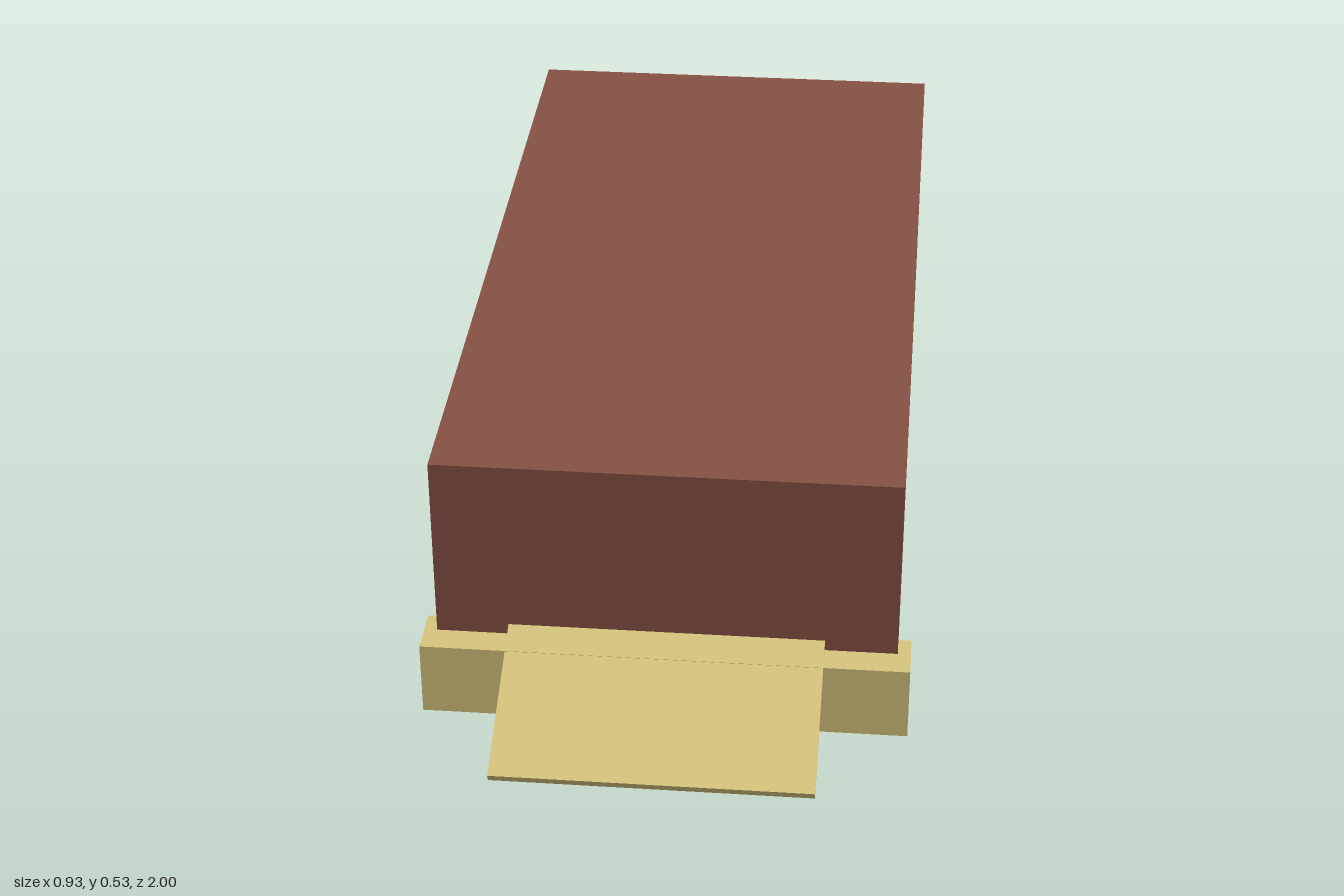
import * as THREE from 'three';

const material = (name, color) => {
  const m = new THREE.MeshStandardMaterial({ color });
  m.name = name;
  return m;
};

// Box given by its extents on each axis
function block(name, mat, [x0, x1], [y0, y1], [z0, z1]) {
  const mesh = new THREE.Mesh(new THREE.BoxGeometry(x1 - x0, y1 - y0, z1 - z0), mat);
  mesh.position.set((x0 + x1) / 2, (y0 + y1) / 2, (z0 + z1) / 2);
  mesh.name = name;
  return mesh;
}

export function createModel() {
  const model = new THREE.Group();
  model.name = 'boxWithRamp';
  const brown = material('reddish brown', 0x865245);
  const sand = material('sand', 0xd8c57e);

  // Long main body
  model.add(block('body', brown, [-0.439, 0.439], [0, 0.528], [-1, 0.697]));

  // Low sill wrapping the front end, a hair above the ground plane of the body
  model.add(block('frontSill', sand, [-0.464, 0.464], [0.001, 0.152], [0.653, 0.753]));

  // Thin ramp sloping down towards the front
  const ramp = new THREE.Mesh(new THREE.BoxGeometry(0.602, 0.016, 0.33), sand);
  ramp.name = 'ramp';
  ramp.position.set(0, 0.106, 0.844);
  ramp.rotation.x = 0.384;
  model.add(ramp);

  return model;
}
